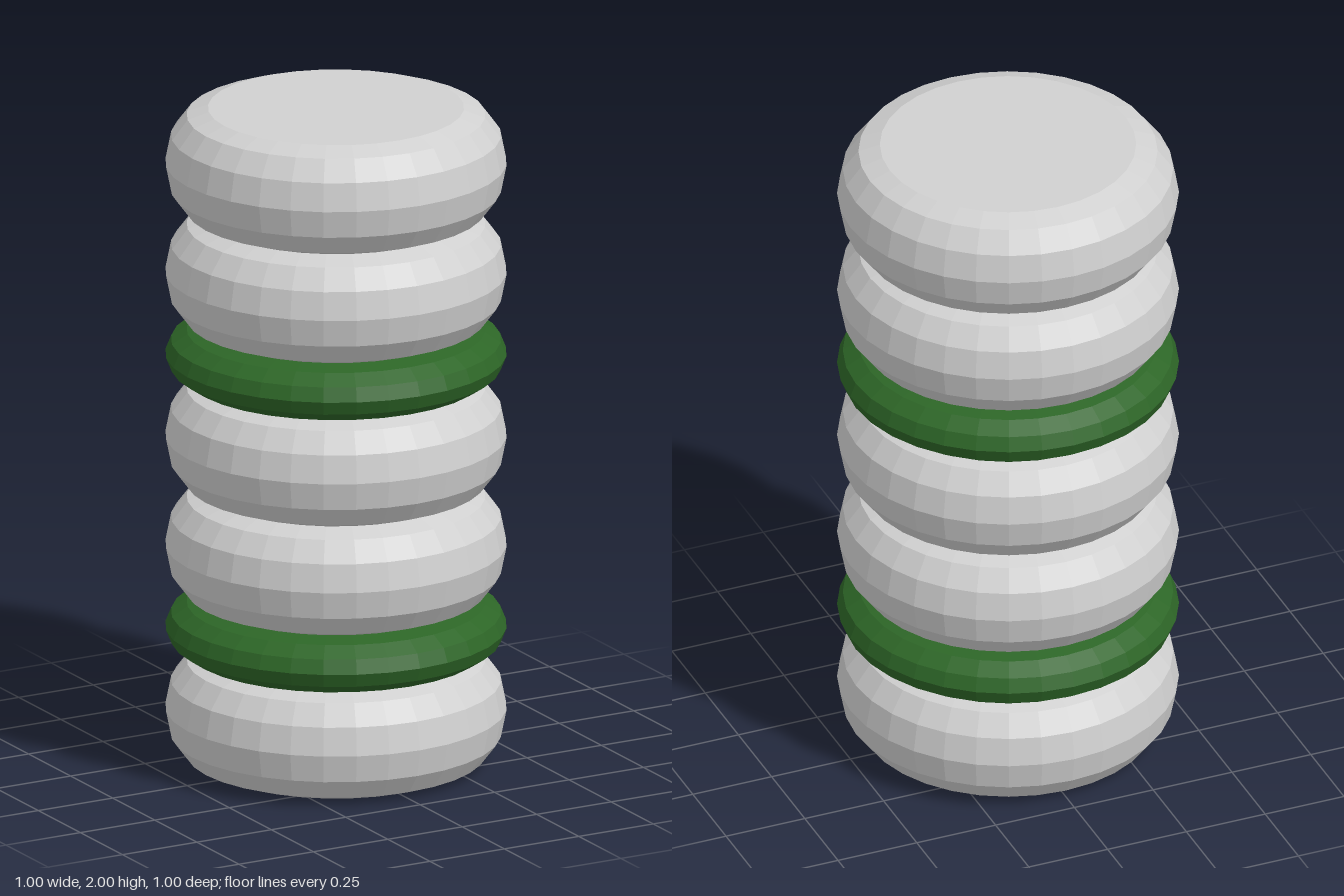
import * as THREE from 'three';

const SIDES = 32;
const RADIUS = 0.5;
const BULGE = 0.125; // how far each ring swells beyond its flat ends
const UNIT = 1 / 6;  // height of a thin ring; thick rings are two units

// Closed ring with flat ends and an elliptical bulging side, resting on y = 0
function bulgedRing(height) {
  const half = height / 2;
  const points = [new THREE.Vector2(0, 0)];
  for (let i = 0; i <= 6; i++) {
    const a = -Math.PI / 2 + (i * Math.PI) / 6;
    points.push(new THREE.Vector2(RADIUS - BULGE + BULGE * Math.cos(a), half + half * Math.sin(a)));
  }
  points.push(new THREE.Vector2(0, height));
  const geometry = new THREE.LatheGeometry(points, SIDES).toNonIndexed();
  geometry.computeVertexNormals();
  return geometry;
}

export function createModel() {
  const lightGrey = new THREE.MeshStandardMaterial({ color: 0xd0d0d0, flatShading: true });
  lightGrey.name = 'lightGrey';
  const green = new THREE.MeshStandardMaterial({ color: 0x2d6627, flatShading: true });
  green.name = 'green';

  const thick = bulgedRing(2 * UNIT);
  const thin = bulgedRing(UNIT);

  const group = new THREE.Group();
  group.name = 'ringColumn';

  // Stack from the ground up: thick grey rings with two thin green bands
  let y = 0;
  ['grey', 'green', 'grey', 'grey', 'green', 'grey', 'grey'].forEach((kind, i) => {
    const isGreen = kind === 'green';
    const mesh = new THREE.Mesh(isGreen ? thin : thick, isGreen ? green : lightGrey);
    mesh.name = (isGreen ? 'greenBand' : 'greyRing') + (i + 1);
    mesh.position.y = y;
    group.add(mesh);
    y += isGreen ? UNIT : 2 * UNIT;
  });
  return group;
}
